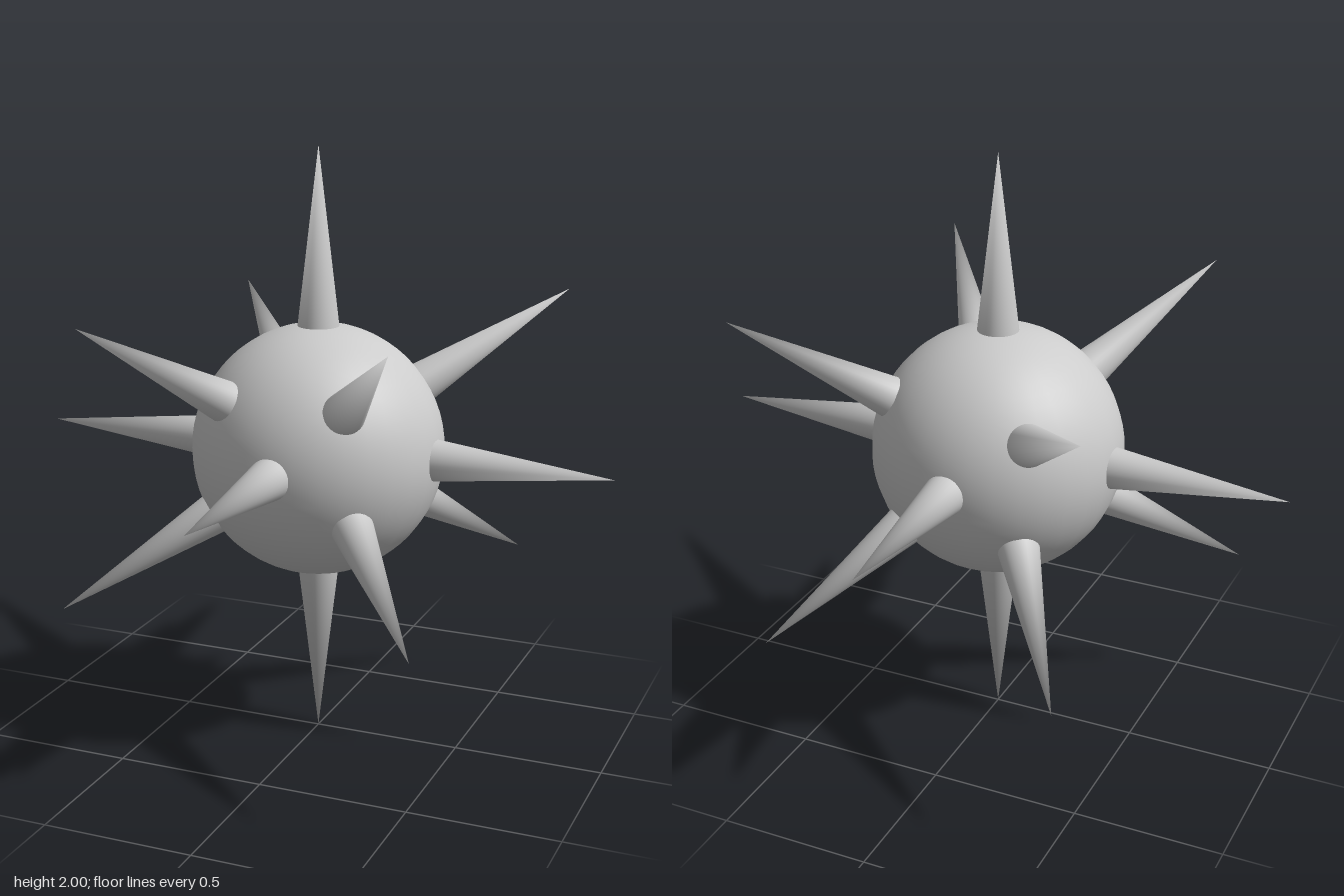
import * as THREE from 'three';

const BODY_RADIUS = 0.42;
const SPIKE_RADIUS = 0.07;
const SPIKE_BASE = 0.4; // sunk slightly into the ball
const SPIKE_TIP = 1;

// Directions of the spikes from the centre of the ball
const AXES = [
  [1, 0, 0], [-1, 0, 0], [0, 1, 0], [0, -1, 0], [0, 0, 1], [0, 0, -1],
];
const DIAGONALS = [
  [0.5, 0.5, 0.707], [-0.5, 0.5, 0.707],
  [0.707, 0.5, -0.5], [-0.707, -0.5, 0.5],
  [0.5, -0.5, -0.707], [-0.5, -0.5, -0.707],
  [0.575, -0.41, 0.707], [-0.575, 0.41, -0.707],
];

// Cone along +y, its base away from the origin, with a softly rounded tip shading
function spikeGeometry() {
  const length = SPIKE_TIP - SPIKE_BASE;
  const geometry = new THREE.ConeGeometry(SPIKE_RADIUS, length, 32);
  const { position, normal } = geometry.attributes;
  for (let i = 0; i < position.count; i++) {
    if (position.getY(i) > 0) normal.setXYZ(i, 0, 1, 0);
  }
  return geometry.translate(0, SPIKE_BASE + length / 2, 0);
}

export function createModel() {
  const model = new THREE.Group();
  model.name = 'spikedBall';
  const material = new THREE.MeshStandardMaterial({ color: 0xcccccc });

  // Round body
  const body = new THREE.Mesh(new THREE.SphereGeometry(BODY_RADIUS, 32, 32), material);
  body.name = 'body';
  body.position.y = 1;
  model.add(body);

  // Spikes
  const spikes = new THREE.Group();
  spikes.name = 'spikes';
  spikes.position.y = 1;
  const geometry = spikeGeometry();
  const up = new THREE.Vector3(0, 1, 0);
  const addSpikes = (directions, name) => directions.forEach((d, i) => {
    const spike = new THREE.Mesh(geometry, material);
    spike.name = `${name}${i + 1}`;
    spike.quaternion.setFromUnitVectors(up, new THREE.Vector3(...d).normalize());
    spikes.add(spike);
  });
  addSpikes(AXES, 'axisSpike');
  addSpikes(DIAGONALS, 'diagonalSpike');
  model.add(spikes);

  return model;
}
